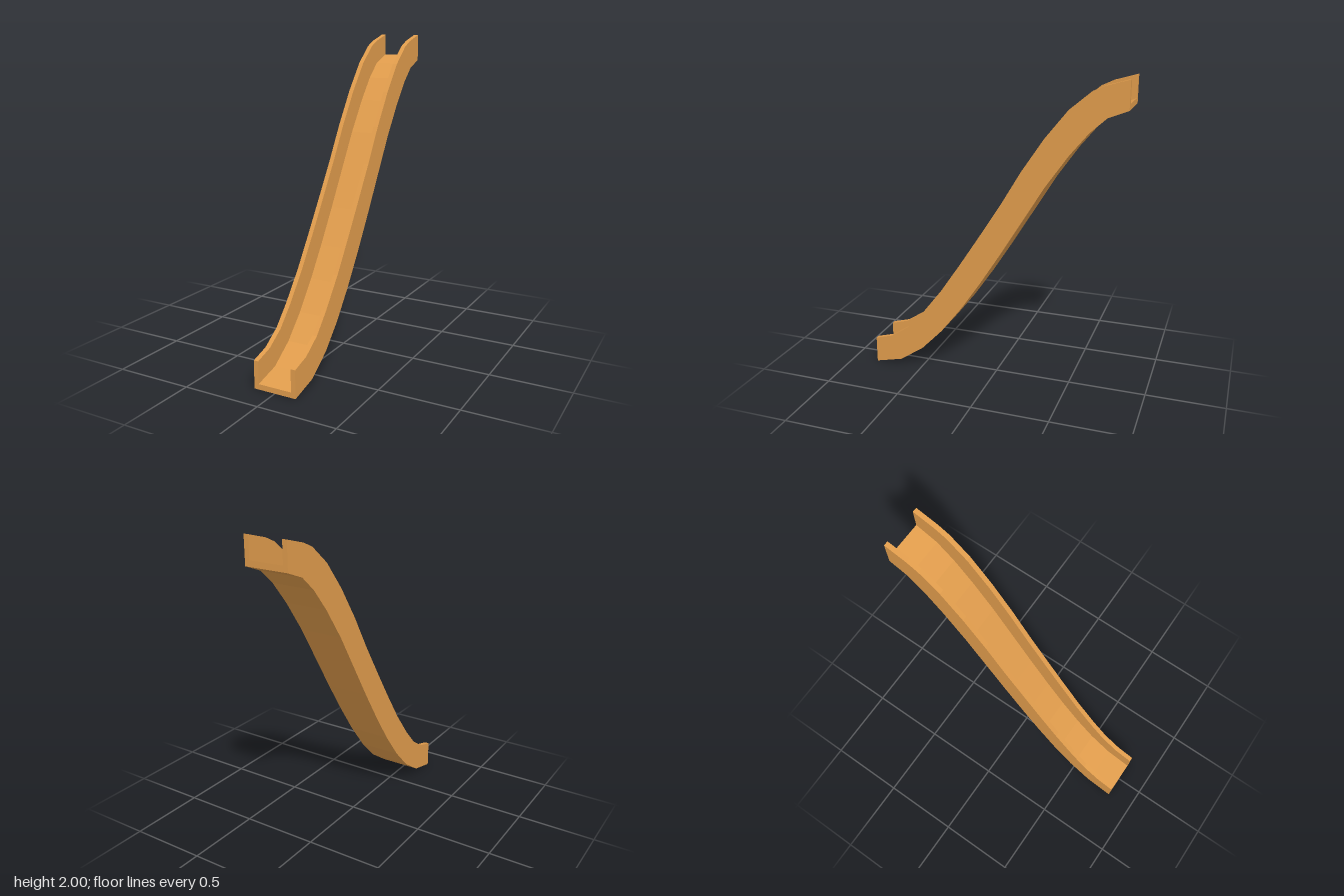
import * as THREE from 'three';

const HALF_WIDTH = 0.14, WALL = 0.03, FLOOR = 0.033;

// Side outline as [z, y], both edges running from the low front end to the high back end
const underside = [
  [0.825, 0], [0.64, 0.045], [0.48, 0.155], [0.34, 0.3], [0.2, 0.48], [0.07, 0.67], [-0.07, 0.89],
  [-0.21, 1.12], [-0.35, 1.35], [-0.49, 1.55], [-0.605, 1.69], [-0.705, 1.78], [-0.825, 1.828],
];
const rim = [
  [0.825, 0.175], [0.705, 0.21], [0.585, 0.29], [0.475, 0.41], [0.335, 0.59], [0.2, 0.79], [0.07, 0.99],
  [-0.07, 1.21], [-0.2, 1.43], [-0.34, 1.64], [-0.48, 1.815], [-0.61, 1.925], [-0.685, 1.96], [-0.825, 2],
];

// Lifts a line along its normals; the two ends stay in their vertical planes
function lift(line, t) {
  return line.map(([z, y], i) => {
    const a = line[Math.max(i - 1, 0)], b = line[Math.min(i + 1, line.length - 1)];
    const dz = b[0] - a[0], dy = b[1] - a[1], len = Math.hypot(dz, dy);
    const atEnd = i === 0 || i === line.length - 1;
    return atEnd ? [z, y + t * len / Math.abs(dz)] : [z + t * dy / len, y - t * dz / len];
  });
}

// Extrudes the band between two lines across x, from x0 to x1
function band(name, lower, upper, x0, x1, material) {
  const outline = [...lower, ...[...upper].reverse()].map(([z, y]) => new THREE.Vector2(z, y));
  const geometry = new THREE.ExtrudeGeometry(new THREE.Shape(outline), {
    depth: x1 - x0, bevelEnabled: false,
  });
  geometry.rotateY(-Math.PI / 2).translate(x1, 0, 0);
  const mesh = new THREE.Mesh(geometry, material);
  mesh.name = name;
  return mesh;
}

export function createModel() {
  const orange = new THREE.MeshStandardMaterial({ name: 'orange', color: 0xe09c4c });
  const slide = new THREE.Group();
  slide.name = 'slide';
  const inner = HALF_WIDTH - WALL;

  // Sliding surface between two side walls
  slide.add(band('slideFloor', underside, lift(underside, FLOOR), -inner, inner, orange));
  slide.add(band('leftWall', underside, rim, inner, HALF_WIDTH, orange));
  slide.add(band('rightWall', underside, rim, -HALF_WIDTH, -inner, orange));
  return slide;
}
